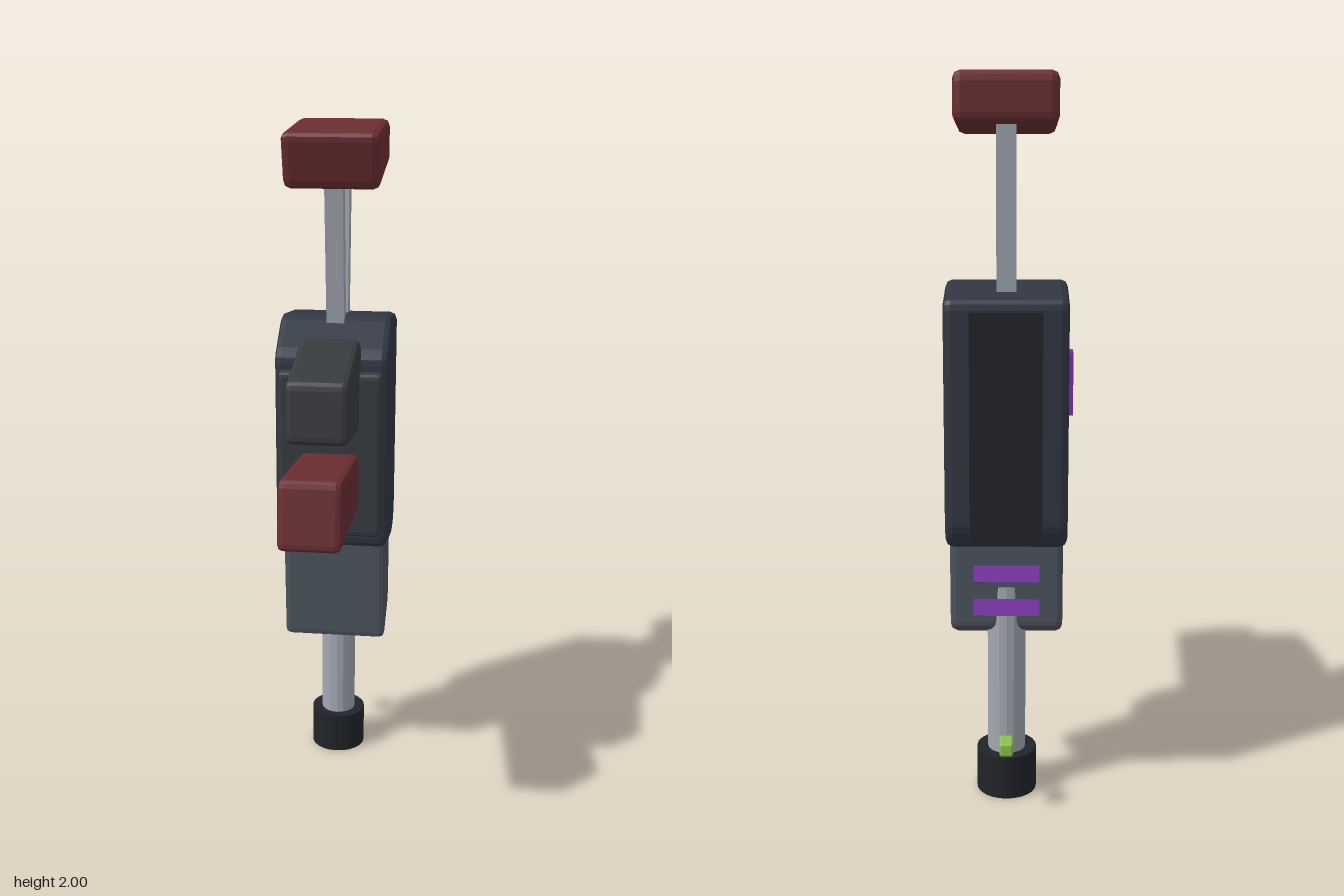
import * as THREE from 'three';

const CX = 0.005; // shared centre plane of the parts
const COLORS = {
  body: 0x303743, dark: 0x212428, plate: 0x383b3f, red: 0x6b2e31,
  grey: 0x4e565f, metal: 0xa3a8b3, purple: 0x7b30a8, green: 0x8bc34a,
};

function addMesh(group, name, geometry, color) {
  const material = new THREE.MeshStandardMaterial({ color, flatShading: true });
  const mesh = new THREE.Mesh(geometry, material);
  mesh.name = name;
  group.add(mesh);
  return mesh;
}

// Side outline of [z, y] corners, softened and extruded across x with a bevel
function slab(points, width, bevel) {
  const v = points.map(([z, y]) => new THREE.Vector2(z, y));
  const shape = new THREE.Shape();
  const n = v.length;
  v.forEach((p, i) => {
    const toward = (q) => p.clone().add(q.clone().sub(p).setLength(bevel * 1.4));
    const a = toward(v[(i + n - 1) % n]);
    const b = toward(v[(i + 1) % n]);
    if (i === 0) shape.moveTo(a.x, a.y);
    else shape.lineTo(a.x, a.y);
    shape.quadraticCurveTo(p.x, p.y, b.x, b.y);
  });
  shape.closePath();
  const depth = width - 2 * bevel;
  const geometry = new THREE.ExtrudeGeometry(shape, {
    depth, curveSegments: 3, bevelEnabled: true, bevelSegments: 2,
    bevelSize: bevel, bevelThickness: bevel, bevelOffset: -bevel,
  });
  return geometry.translate(0, 0, -depth / 2).rotateY(-Math.PI / 2).translate(CX, 0, 0);
}

// Square bar between two [z, y] points
function bar(group, name, from, to, width, thickness, color) {
  const dz = to[0] - from[0], dy = to[1] - from[1];
  const mesh = addMesh(group, name, new THREE.BoxGeometry(width, Math.hypot(dz, dy), thickness), color);
  mesh.position.set(CX, (from[1] + to[1]) / 2, (from[0] + to[0]) / 2);
  mesh.rotation.x = Math.atan2(dz, dy);
}

function box(group, name, size, position, color) {
  addMesh(group, name, new THREE.BoxGeometry(...size), color).position.set(...position);
}

export function createModel() {
  const model = new THREE.Group();
  model.name = 'upright blaster';

  // Bevelled blocks: name, colour, width, bevel, side outline
  const blocks = [
    ['mainBody', COLORS.body, 0.33, 0.02,
      [[-0.188, 1.457], [-0.387, 1.425], [-0.387, 0.8], [-0.352, 0.745], [-0.273, 0.725], [-0.05, 0.78], [-0.05, 1.365]]],
    ['frontPlate', COLORS.plate, 0.3, 0.012,
      [[-0.018, 1.32], [-0.1, 1.32], [-0.1, 0.822], [-0.018, 0.822]]],
    ['magazine', COLORS.plate, 0.17, 0.016,
      [[0.278, 1.372], [-0.03, 1.424], [-0.13, 1.35], [-0.13, 1.13], [0.292, 1.202]]],
    ['grip', COLORS.red, 0.17, 0.016,
      [[0.424, 1.15], [-0.12, 1.064], [-0.12, 0.898], [0.46, 0.96]]],
    ['barrelHousing', COLORS.grey, 0.31, 0.016,
      [[-0.127, 0.85], [-0.33, 0.85], [-0.319, 0.495], [-0.157, 0.425]]],
    ['stockPad', COLORS.red, 0.27, 0.02,
      [[0.002, 1.99], [-0.386, 2.0], [-0.386, 1.87], [-0.046, 1.83]]],
  ];
  for (const [name, color, width, bevel, outline] of blocks) {
    addMesh(model, name, slab(outline, width, bevel), color);
  }

  // Stock struts
  bar(model, 'frontStrut', [-0.19, 1.38], [-0.122, 1.88], 0.052, 0.052, COLORS.metal);
  bar(model, 'rearStrut', [-0.285, 1.38], [-0.327, 1.9], 0.052, 0.052, COLORS.metal);

  // Barrel and muzzle
  addMesh(model, 'barrel', new THREE.CylinderGeometry(0.053, 0.053, 0.55, 16), COLORS.metal)
    .position.set(CX, 0.345, -0.276);
  addMesh(model, 'muzzle', new THREE.CylinderGeometry(0.084, 0.084, 0.125, 24), COLORS.dark)
    .position.set(CX, 0.0625, -0.276);

  // Top rail and front sight
  box(model, 'rail', [0.19, 0.62, 0.04], [CX, 1.09, -0.428], COLORS.dark);
  addMesh(model, 'frontSight', slab(
    [[-0.397, 0.215], [-0.455, 0.215], [-0.455, 0.176], [-0.397, 0.176]], 0.036, 0.005), COLORS.green);

  // Glowing details
  box(model, 'sideLight', [0.02, 0.17, 0.06], [-0.163, 1.188, -0.28], COLORS.purple);
  for (const y of [0.667, 0.57]) {
    bar(model, 'ventLight', [-0.338, y + 0.021], [-0.354, y - 0.021], 0.18, 0.017, COLORS.purple);
  }
  return model;
}
